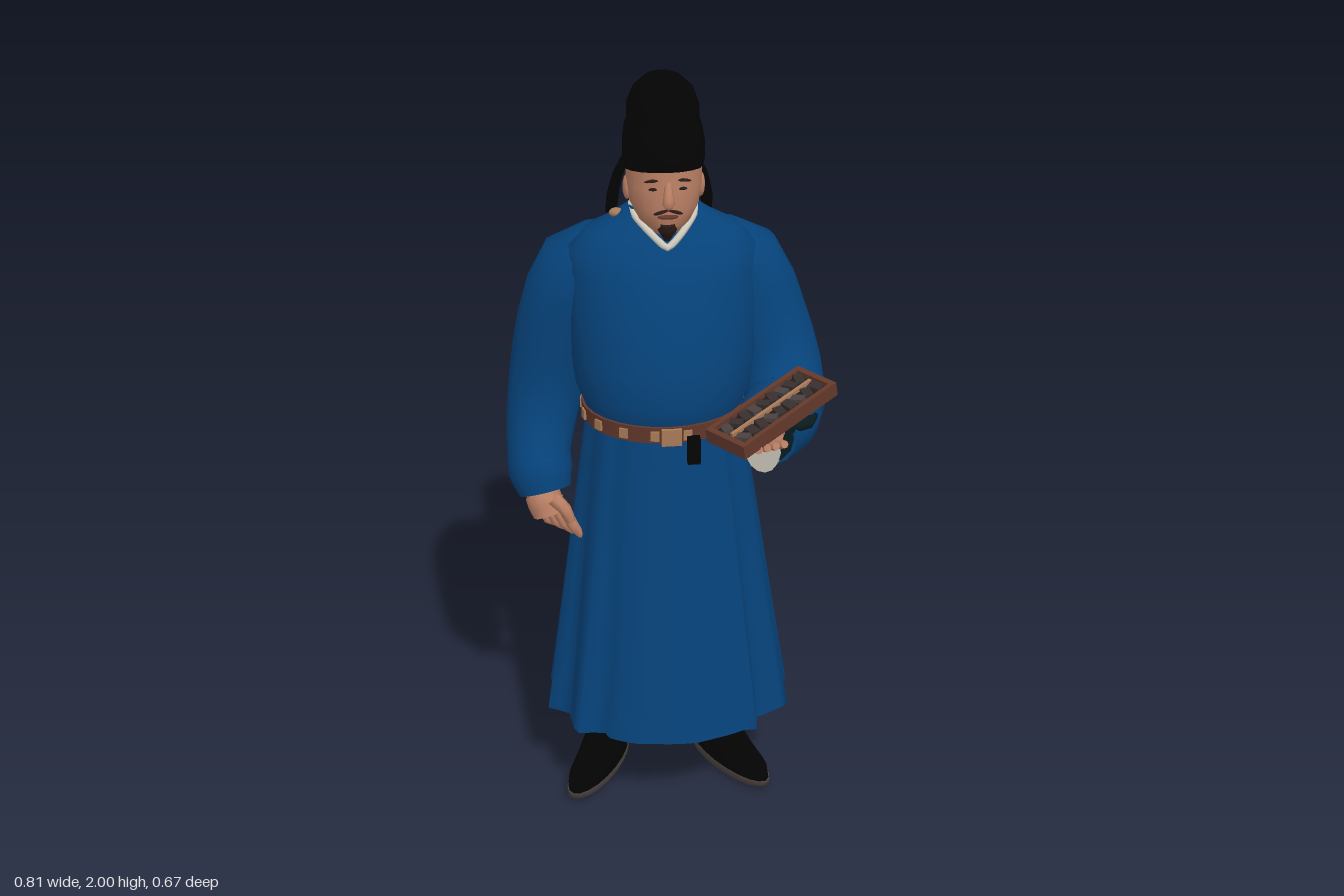
import * as THREE from 'three';

const mat = (name, color) => Object.assign(new THREE.MeshStandardMaterial({ color }), { name });
const V = (x, y, z) => new THREE.Vector3(x, y, z);

// Skin a list of equal-length rings, with optional flat end caps
function loft(rings, caps = true) {
  const n = rings[0].length, pos = [], idx = [];
  const add = p => pos.push(p.x, p.y, p.z);
  rings.forEach(r => r.forEach(add));
  for (let i = 0; i < rings.length - 1; i++) for (let j = 0; j < n; j++) {
    const k = (j + 1) % n, a = i * n + j, b = i * n + k;
    idx.push(a, b, b + n, a, b + n, a + n);
  }
  if (caps) [rings[0], rings.at(-1)].forEach((ring, top) => {
    const s = pos.length / 3, c = V(0, 0, 0);
    ring.forEach(p => { add(p); c.addScaledVector(p, 1 / n); });
    add(c);
    for (let j = 0; j < n; j++) {
      const k = (j + 1) % n;
      idx.push(s + n, s + (top ? j : k), s + (top ? k : j));
    }
  });
  const g = new THREE.BufferGeometry();
  g.setAttribute('position', new THREE.Float32BufferAttribute(pos, 3));
  g.setIndex(idx);
  g.computeVertexNormals();
  return g;
}

// Horizontal ellipse: height, half width, back z, front z
function ring([y, rx, zb, zf], n = 20) {
  return Array.from({ length: n }, (_, j) => {
    const t = j / n * Math.PI * 2;
    return V(Math.sin(t) * rx, y, (zb + zf) / 2 + Math.cos(t) * (zf - zb) / 2);
  });
}
const stack = (rows, n) => loft(rows.map(r => ring(r, n)));

// Tapered limb through points [x, y, z, radius]; flat widens or thins it across x
function limb(pts, n = 12, sub = 2, flat = 1) {
  const curve = new THREE.CatmullRomCurve3(pts.map(p => V(p[0], p[1], p[2])));
  const m = (pts.length - 1) * sub, rings = [];
  for (let i = 0; i <= m; i++) {
    const t = i / m, k = Math.min(Math.floor(i / sub), pts.length - 2), f = i / sub - k;
    const r = THREE.MathUtils.lerp(pts[k][3], pts[k + 1][3], f);
    const c = curve.getPoint(t), T = curve.getTangent(t), A = V(1, 0, 0);
    A.addScaledVector(T, -A.dot(T)).normalize();
    const U = T.clone().cross(A);
    rings.push(Array.from({ length: n }, (_, j) => {
      const a = j / n * Math.PI * 2;
      return c.clone().addScaledVector(U, Math.sin(a) * r).addScaledVector(A, Math.cos(a) * r * flat);
    }));
  }
  return loft(rings);
}

export function createModel() {
  const root = new THREE.Group();
  root.name = 'robedMan';
  const blue = mat('blueCloth', 0x06437b), black = mat('blackCloth', 0x030303);
  const skin = mat('skin', 0xbb8065), brown = mat('brownLeatherAndWood', 0x64382b);
  const white = mat('whiteLinen', 0xd0cabd), sole = mat('soleGrey', 0x4b4240);
  const tan = mat('tan', 0xa87a58), lining = mat('darkLining', 0x0a1c20);
  const hair = mat('darkHair', 0x2a1a16), grey = mat('darkGrey', 0x352e2c);
  blue.side = THREE.DoubleSide;
  const add = (name, geo, m, parent = root) => {
    const o = new THREE.Mesh(geo, m);
    o.name = name;
    parent.add(o);
    return o;
  };
  const ball = (name, m, p, s) => {
    const o = add(name, new THREE.SphereGeometry(1, 12, 8), m);
    o.position.set(...p);
    o.scale.set(...s);
    return o;
  };

  // Robe body
  add('robeTorso', stack([
    [1.09, .198, -.25, .085], [1.15, .205, -.26, .098], [1.19, .222, -.28, .112], [1.28, .235, -.29, .108],
    [1.4, .24, -.29, .08], [1.5, .24, -.278, .05], [1.555, .235, -.255, .025],
    [1.6, .19, -.22, 0], [1.635, .128, -.185, -.02], [1.668, .085, -.155, -.035]], 28), blue);

  // Pleated skirt: folds deepen towards the hem and fade across the front panel
  const skirt = [];
  for (let i = 0; i <= 6; i++) {
    const f = i / 6, lerp = (a, b) => a + (b - a) * f;
    const r = ring([lerp(.25, 1.11), lerp(.312, .2), lerp(-.32, -.252), lerp(.188, .09)], 72);
    r.forEach((p, j) => {
      const front = Math.cos(j / 72 * Math.PI * 2);
      const fold = [0, .7, 1, -.2, -.9, -.5][j % 6] * (front > .78 ? .12 : 1);
      const k = 1 + fold * .07 * (1 - f * .7);
      p.x = p.x * k + .01 * (1 - f);
      p.z = (p.z + .07) * k - .07;
    });
    skirt.push(r);
  }
  add('robeSkirt', loft(skirt, false), blue);

  // Belt with plaques, buckle and small pouch
  add('belt', stack([[1.1, .207, -.262, .1], [1.145, .211, -.266, .104]], 28), brown);
  for (let i = 0; i < 16; i++) {
    const a = (i + .5) / 16 * Math.PI * 2;
    const o = add('beltPlaque', new THREE.BoxGeometry(.022, .026, .008), tan);
    o.position.set(Math.sin(a) * .21, 1.122, -.081 + Math.cos(a) * .184);
    o.rotation.y = Math.atan2(Math.sin(a) / .21, Math.cos(a) / .184);
  }
  add('buckle', new THREE.BoxGeometry(.05, .045, .012), tan).position.set(0, 1.12, .105);
  add('pouch', new THREE.BoxGeometry(.032, .07, .025), black).position.set(.055, 1.085, .112);

  // Sleeves
  add('rightSleeve', limb([
    [-.09, 1.55, -.135, .07], [-.2, 1.475, -.16, .112], [-.255, 1.33, -.175, .109], [-.288, 1.17, -.18, .1],
    [-.31, 1.06, -.15, .09], [-.32, .99, -.112, .082], [-.318, .94, -.088, .083], [-.308, .893, -.068, .068]], 16), blue);
  add('leftSleeve', limb([
    [.09, 1.55, -.135, .07], [.2, 1.475, -.152, .112], [.26, 1.33, -.14, .113], [.3, 1.21, -.095, .108],
    [.302, 1.14, -.015, .102], [.27, 1.13, .06, .1], [.23, 1.13, .12, .09]], 16), blue);
  add('leftLining', limb([[.25, 1.13, .09, .08], [.227, 1.13, .124, .082]], 14), lining);
  add('leftCuffSlit', limb([[.362, 1.145, .06, .014], [.338, 1.15, .115, .02], [.285, 1.16, .155, .02]], 8), lining);
  add('leftUndersleeve', limb([[.25, 1.09, .09, .062], [.222, 1.085, .143, .06]], 14, 2, .75), white);

  // Right hand hanging, slightly curled
  add('rightPalm', limb([[-.308, .91, -.07, .036], [-.312, .875, -.06, .048], [-.3, .835, -.045, .042]], 10, 3), skin);
  for (let i = 0; i < 4; i++) {
    const x = -.325 + i * .02, z = -.07 + i * .014;
    add('rightFinger', limb([[x, .86, z, .016], [x + .022, .815, z + .012, .015], [x + .045, .78 + .006 * (3 - i), z + .006, .01]], 7), skin);
  }
  add('rightThumb', limb([[-.29, .89, -.025, .02], [-.262, .865, -.01, .017], [-.247, .83, -.01, .011]], 7), skin);

  // Left hand, palm up beneath the tray
  add('leftPalm', limb([[.24, 1.12, .1, .034], [.225, 1.145, .16, .036], [.215, 1.165, .215, .034]], 10, 3, 1.4), skin);
  for (let i = 0; i < 4; i++) {
    const x = .17 + i * .022;
    add('leftFinger', limb([[x, 1.165, .2, .015], [x + .01, 1.165, .25, .014], [x + .02, 1.178, .305 - .008 * i, .01]], 7), skin);
  }
  add('leftThumb', limb([[.2, 1.15, .16, .018], [.165, 1.165, .18, .015], [.145, 1.18, .2, .01]], 7), skin);

  // Tray with a divider and rows of small dark blocks
  const tray = new THREE.Group();
  tray.name = 'tray';
  const L = V(.26, .062, -.2).normalize(), W = V(.2, 0, .26).normalize();
  tray.matrix.makeBasis(L, W.clone().cross(L), W).setPosition(.238, 1.22, .187);
  tray.matrix.decompose(tray.position, tray.quaternion, tray.scale);
  root.add(tray);
  const box = (name, m, w, h, d, x, y, z) => {
    const o = add(name, new THREE.BoxGeometry(w, h, d), m, tray);
    o.position.set(x, y, z);
    return o;
  };
  box('trayFloor', brown, .33, .014, .13, 0, -.012, 0);
  for (const s of [-1, 1]) {
    box('traySide', brown, .33, .036, .013, 0, 0, s * .0585);
    box('trayEnd', brown, .016, .036, .105, s * .157, 0, 0);
    box('trayBed', hair, .29, .012, .046, 0, .001, s * .027);
    for (let i = 0; i < 9; i++)
      box('trayBlock', i % 3 ? grey : sole, .024, .014, .034, -.128 + i * .032, .01, s * .028)
        .rotation.set(.12 * (i % 3 - 1), .5 * Math.sin(i * 2.3 + s), 0);
  }
  box('trayDivider', tan, .28, .026, .009, 0, .004, 0);

  // Head
  add('head', stack([
    [1.57, .055, -.14, -.03], [1.615, .05, -.14, -.012], [1.628, .045, -.135, .01], [1.65, .066, -.14, .024],
    [1.69, .085, -.15, .031], [1.74, .094, -.165, .03], [1.82, .092, -.165, .026]], 20), skin);
  add('nose', limb([[0, 1.765, .022, .008], [0, 1.735, .034, .012], [0, 1.714, .038, .015], [0, 1.705, .032, .009]], 8), skin);
  add('beard', limb([[0, 1.66, .014, .02], [0, 1.64, .006, .025], [0, 1.608, .002, .008]], 10), hair);
  ball('mouth', brown, [0, 1.678, .027], [.026, .006, .01]);
  add('napeHair', stack([[1.685, .07, -.162, -.09], [1.72, .085, -.175, -.09], [1.78, .09, -.18, -.09]], 16), black);
  for (const s of [-1, 1]) {
    ball('eye', hair, [s * .035, 1.748, .022], [.012, .004, .005]);
    ball('eyebrow', hair, [s * .037, 1.769, .021], [.02, .004, .005]).rotation.z = s * -.1;
    ball('moustache', hair, [s * .017, 1.691, .028], [.02, .004, .008]).rotation.z = s * -.3;
    ball('ear', skin, [s * .09, 1.722, -.07], [.011, .032, .02]);
  }

  // White collar edge meeting in a point at the front
  const collar = new THREE.CatmullRomCurve3([
    V(0, 1.592, .014), V(.035, 1.62, -.002), V(.072, 1.652, -.05), V(.075, 1.666, -.11), V(0, 1.668, -.15),
    V(-.075, 1.666, -.11), V(-.072, 1.652, -.05), V(-.035, 1.62, -.002)], true, 'catmullrom', .3);
  add('collar', new THREE.TubeGeometry(collar, 40, .009, 6, true), white);
  ball('collarKnot', tan, [-.115, 1.645, -.096], [.018, .012, .014]);

  // Soft hat, its brim dipping to the back, and hanging ribbons
  const hat = [
    [1.768, .095, -.185, .034], [1.79, .1, -.193, .04], [1.84, .1, -.197, .037], [1.875, .094, -.197, .028],
    [1.89, .088, -.196, .022], [1.925, .088, -.2, .016], [1.96, .075, -.182, .003], [1.988, .048, -.148, -.022],
    [2, .02, -.11, -.05]].map(r => ring(r, 18));
  hat.slice(0, 3).forEach((r, i) => r.forEach(p => { p.y += (p.z + .08) * (.22 - i * .07); }));
  add('hat', loft(hat), black);
  for (const s of [-1, 1])
    add('hatRibbon', limb([[s * .075, 1.79, -.15, .016], [s * .105, 1.72, -.155, .026], [s * .118, 1.65, -.17, .034],
      [s * .12, 1.6, -.19, .028]], 8, 2, .45), black);

  // Boots, toes turned outwards
  for (const s of [-1, 1]) {
    const boot = new THREE.Group();
    boot.name = s > 0 ? 'leftBoot' : 'rightBoot';
    boot.position.set(s * .143, 0, -.135);
    boot.rotation.y = s * .52;
    root.add(boot);
    add('sole', stack([[0, .048, -.08, .22], [.014, .055, -.084, .244], [.028, .054, -.082, .244]], 20), sole, boot);
    add('bootUpper', stack([
      [.024, .053, -.08, .241], [.05, .054, -.078, .232], [.07, .055, -.075, .17], [.1, .057, -.073, .09],
      [.14, .06, -.073, .068], [.25, .068, -.078, .074], [.5, .075, -.08, .08]], 20), black, boot);
  }
  return root;
}
